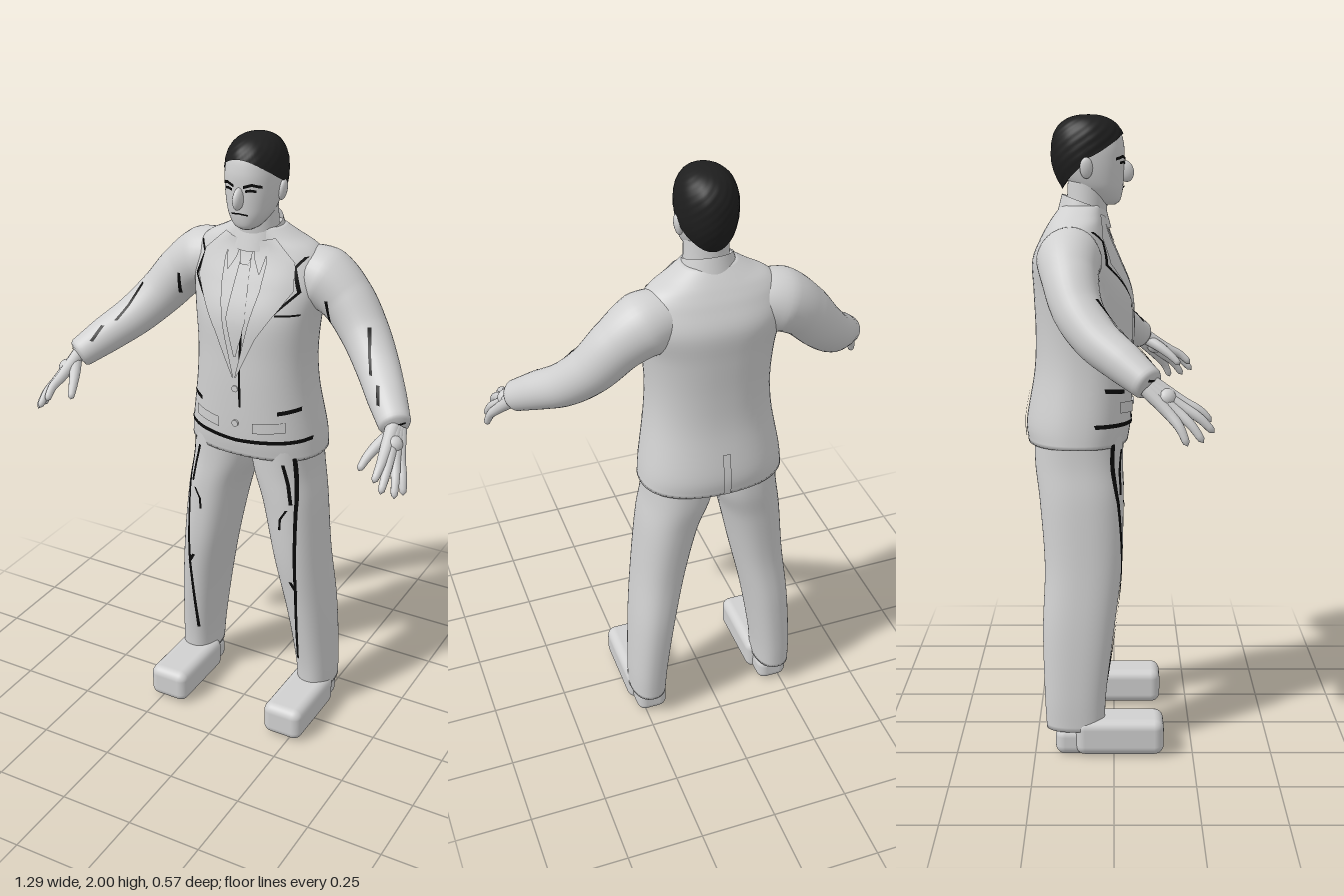
import * as THREE from 'three';
import { mergeVertices } from 'three/addons/utils/BufferGeometryUtils.js';
import { RoundedBoxGeometry } from 'three/addons/geometries/RoundedBoxGeometry.js';

const mat = (name, color) => new THREE.MeshStandardMaterial({ name, color, side: THREE.DoubleSide });
const V = (p) => new THREE.Vector3(p[0], p[1], p[2] ?? 0);

// Smooth surface from a rule fn(u, v) -> [x, y, z]; u runs around, v runs up
function grid(nu, nv, fn) {
  const pos = [], idx = [];
  for (let j = 0; j <= nv; j++)
    for (let i = 0; i <= nu; i++) pos.push(...fn(i / nu, j / nv));
  for (let j = 0; j < nv; j++)
    for (let i = 0; i < nu; i++) {
      const a = j * (nu + 1) + i, c = a + nu + 1;
      idx.push(a, c, a + 1, a + 1, c, c + 1);
    }
  let g = new THREE.BufferGeometry();
  g.setAttribute('position', new THREE.Float32BufferAttribute(pos, 3));
  g.setIndex(idx);
  g = mergeVertices(g, 1e-5);
  g.computeVertexNormals();
  return g;
}

// Loft through sections [y, cx, cz, rx, rz], closed at both ends
function loft(sections, side = 1, power = 2.3, rows = 48) {
  const mid = new THREE.CatmullRomCurve3(sections.map((s) => V([s[1] * side, s[0], s[2]])), false, 'catmullrom');
  const rad = new THREE.CatmullRomCurve3(sections.map((s) => V([s[3], s[4]])), false, 'catmullrom');
  const pw = (c) => Math.sign(c) * Math.abs(c) ** (2 / power);
  return grid(56, rows + 2, (u, v) => {
    const k = Math.round(v * (rows + 2)) - 1;
    const t = THREE.MathUtils.clamp(k / rows, 0, 1);
    const m = mid.getPoint(t), r = rad.getPoint(t), a = u * Math.PI * 2;
    const open = k < 0 || k > rows ? 0 : 1;
    return [m.x + open * r.x * pw(Math.cos(a)), m.y, m.z + open * r.y * pw(Math.sin(a))];
  });
}

// Tapered tube through points [x, y, z, radius] with a rounded end
function limb(points, side, radial, rows, roundFrom) {
  const curve = new THREE.CatmullRomCurve3(points.map((p) => V([p[0] * side, p[1], p[2]])));
  let g = new THREE.TubeGeometry(curve, rows, 1, radial);
  const pos = g.attributes.position, q = new THREE.Vector3();
  for (let i = 0; i < pos.count; i++) {
    const u = Math.floor(i / (radial + 1)) / rows;
    const t = curve.getUtoTmapping(u) * (points.length - 1);
    const k = Math.min(Math.floor(t), points.length - 2);
    let r = THREE.MathUtils.lerp(points[k][3], points[k + 1][3], t - k);
    if (u > roundFrom) r *= Math.sqrt(Math.max(0, 1 - ((u - roundFrom) / (1 - roundFrom)) ** 2));
    const c = curve.getPointAt(u);
    q.fromBufferAttribute(pos, i).sub(c).multiplyScalar(r).add(c);
    pos.setXYZ(i, q.x, q.y, q.z);
  }
  g.deleteAttribute('uv');
  g.deleteAttribute('normal');
  g = mergeVertices(g, 1e-5);
  g.computeVertexNormals();
  return g;
}

export function createModel() {
  const root = new THREE.Group();
  root.name = 'suitedMan';
  const pale = mat('paleGrey', 0xd0d0d0);
  const dark = mat('hairBlack', 0x1e1e1e);
  const ink = mat('seamBlack', 0x0a0a0a);
  const add = (name, geo, m = pale) => {
    const mesh = new THREE.Mesh(geo, m);
    mesh.name = name;
    root.add(mesh);
    return mesh;
  };

  // Thin patch between two edges of [x, y] points, laid on a mesh from the front (1) or back (-1)
  const ray = new THREE.Raycaster();
  function patch(name, on, edgeA, edgeB, m, lift, cols = 2, face = 1) {
    const at = (e, v) => {
      const t = v * (e.length - 1), k = Math.min(Math.floor(t), e.length - 2);
      return V(e[k]).lerp(V(e[k + 1]), t - k);
    };
    let z = 0;
    return add(name, grid(cols, 8 * (edgeA.length - 1), (u, v) => {
      const p = at(edgeA, v).lerp(at(edgeB, v), u);
      ray.set(V([p.x, p.y, 2 * face]), V([0, 0, -face]));
      const hit = ray.intersectObject(on)[0];
      if (hit) z = hit.point.z;
      return [p.x, p.y, z + lift * face];
    }), m);
  }
  // Narrow painted line; w is its width across
  const line = (name, on, pts, w = 0.01, flat = false) => {
    const off = (s) => pts.map(([x, y]) => (flat ? [x, y + s * w / 2] : [x + s * w / 2, y]));
    return patch(name, on, off(-1), off(1), ink, 0.004);
  };

  // Jacket body
  const jacket = add('jacket', loft([
    [0.98, 0, -0.115, 0.232, 0.16], [1.05, 0, -0.112, 0.224, 0.167], [1.2, 0, -0.097, 0.2, 0.157],
    [1.32, 0, -0.095, 0.194, 0.154], [1.45, 0, -0.1, 0.205, 0.154], [1.55, 0, -0.12, 0.225, 0.137],
    [1.62, 0, -0.122, 0.215, 0.108], [1.66, 0, -0.118, 0.185, 0.09], [1.69, 0, -0.11, 0.13, 0.078],
    [1.72, 0, -0.1, 0.08, 0.065]]));

  // Neck and tilted shirt collar
  add('neck', loft([[1.64, 0, -0.095, 0.075, 0.065], [1.72, 0, -0.085, 0.069, 0.064], [1.8, 0, -0.08, 0.066, 0.064]], 1, 2, 12));
  add('collar', grid(40, 4, (u, v) => {
    const a = u * Math.PI * 2, r = 0.092 - 0.016 * v;
    return [r * Math.cos(a), 1.675 + 0.055 * v - 0.025 * Math.sin(a), -0.093 + r * 0.92 * Math.sin(a)];
  }));

  // Tie, knot, buttons and back vent
  patch('tie', jacket, [[-0.016, 1.65], [-0.034, 1.45], [-0.004, 1.33]], [[0.016, 1.65], [0.034, 1.45], [0.004, 1.33]], pale, 0.005, 4);
  patch('tieKnot', jacket, [[-0.026, 1.668], [-0.014, 1.61]], [[0.026, 1.668], [0.014, 1.61]], pale, 0.01, 4);
  patch('backVent', jacket, [[-0.012, 0.985], [-0.012, 1.13]], [[0.012, 0.985], [0.012, 1.13]], pale, 0.006, 2, -1);
  for (const y of [1.1, 1.22]) {
    const b = add('button', new THREE.CylinderGeometry(0.011, 0.011, 0.008, 16).rotateX(Math.PI / 2));
    b.position.set(0, y, 0.06);
  }
  line('frontSeam', jacket, [[0.018, 1.16], [0.016, 1.28], [0.022, 1.42]], 0.008);
  line('hemBand', jacket, [[-0.218, 1.05], [-0.1, 1.046], [0, 1.04], [0.1, 1.046], [0.218, 1.05]], 0.013, true);
  line('breastPocket', jacket, [[0.12, 1.475], [0.185, 1.475]], 0.006, true);

  // Head
  const head = add('head', loft([
    [1.722, 0, -0.022, 0.022, 0.026], [1.735, 0, -0.027, 0.042, 0.046], [1.765, 0, -0.045, 0.064, 0.072],
    [1.8, 0, -0.058, 0.076, 0.088], [1.85, 0, -0.068, 0.084, 0.1], [1.9, 0, -0.075, 0.085, 0.107],
    [1.95, 0, -0.08, 0.076, 0.098], [1.98, 0, -0.085, 0.05, 0.065]], 1, 2.2));
  const nose = add('nose', new THREE.SphereGeometry(1, 20, 14));
  nose.scale.set(0.015, 0.034, 0.026);
  nose.position.set(0, 1.825, 0.036);
  nose.rotation.x = -0.25;
  line('mouth', head, [[-0.028, 1.776], [0, 1.779], [0.028, 1.776]], 0.005, true);

  // Hair: a cap with a hairline low at the back, and slight waves
  add('hair', grid(72, 32, (u, v) => {
    const a = u * Math.PI * 2, s = Math.sin(a);
    const edge = s > 0 ? 1.865 + 0.075 * s ** 1.2 : 1.865 - 0.095 * Math.abs(s) ** 0.8;
    const y = THREE.MathUtils.lerp(edge, 1.998, Math.sin(v * Math.PI / 2));
    const d = (y - 1.88) / 0.118;
    let r = d > 0 ? Math.max(0, 1 - d ** 2.6) ** (1 / 2.4) : 1 - 0.36 * d * d;
    r *= 1 + 0.012 * Math.sin(a * 13 + y * 90) * Math.sin(y * 130 + a * 4);
    return [0.092 * r * Math.cos(a), y, -0.08 + 0.117 * r * s];
  }), dark);

  for (const s of [1, -1]) {
    const side = s > 0 ? 'left' : 'right';
    const m = (pts) => pts.map(([x, y]) => [x * s, y]);

    // Face details
    line(side + 'Eyebrow', head, m([[0.016, 1.862], [0.04, 1.87], [0.064, 1.862]]), 0.009, true);
    line(side + 'Eye', head, m([[0.022, 1.85], [0.036, 1.853], [0.052, 1.85]]), 0.008, true);
    const ear = add(side + 'Ear', new THREE.SphereGeometry(1, 16, 12));
    ear.scale.set(0.012, 0.033, 0.02);
    ear.position.set(0.086 * s, 1.835, -0.085);
    ear.rotation.z = -0.15 * s;

    // Lapel, shirt collar leaf, pocket flap and their seams
    patch(side + 'Lapel', jacket, m([[0.085, 1.695], [0.155, 1.63], [0.165, 1.55], [0.07, 1.4], [0.006, 1.26]]),
      m([[0.06, 1.69], [0.07, 1.62], [0.065, 1.54], [0.035, 1.4], [0.002, 1.26]]), pale, 0.008, 6);
    patch(side + 'CollarLeaf', jacket, m([[0.018, 1.68], [0.03, 1.63], [0.052, 1.59]]),
      m([[0.07, 1.69], [0.068, 1.65], [0.056, 1.59]]), pale, 0.009, 4);
    patch(side + 'PocketFlap', jacket, m([[0.06, 1.11], [0.16, 1.12]]), m([[0.06, 1.075], [0.16, 1.085]]), pale, 0.006, 4);
    line(side + 'LapelSeam', jacket, m([[0.18, 1.645], [0.155, 1.615], [0.178, 1.545], [0.125, 1.49], [0.07, 1.43]]), 0.011);
    line(side + 'PocketSeam', jacket, m([[0.135, 1.15], [0.192, 1.158]]), 0.014, true);

    // Sleeve
    const sleeve = add(side + 'Sleeve', limb([
      [0.13, 1.575, -0.13, 0.085], [0.21, 1.56, -0.135, 0.1], [0.285, 1.51, -0.13, 0.085], [0.36, 1.425, -0.105, 0.076],
      [0.43, 1.35, -0.05, 0.068], [0.5, 1.29, 0.03, 0.06], [0.567, 1.232, 0.108, 0.047]], s, 32, 60, 0.97));
    line(side + 'SleeveFold', sleeve, m([[0.258, 1.525], [0.265, 1.45]]));
    line(side + 'ElbowFold', sleeve, m([[0.4, 1.465], [0.425, 1.4], [0.45, 1.355]]));
    line(side + 'ForearmFold', sleeve, m([[0.485, 1.34], [0.505, 1.295]]), 0.012);
    line(side + 'CuffSeam', sleeve, m([[0.55, 1.245], [0.59, 1.255]]), 0.007, true);

    // Hand: palm bones running on into the fingers, then the thumb
    const fingers = [[0.568, 1.19, 0.195, 0.572, 1.135, 0.275], [0.582, 1.181, 0.188, 0.598, 1.108, 0.282],
      [0.594, 1.171, 0.172, 0.628, 1.086, 0.25], [0.603, 1.163, 0.155, 0.638, 1.078, 0.205]];
    fingers.forEach(([kx, ky, kz, tx, ty, tz], i) => add(side + 'Finger' + (i + 1), limb([
      [0.556 + i * 0.005, 1.242 - i * 0.005, 0.11 - i * 0.006, 0.022], [kx, ky, kz, 0.017],
      [(kx + tx) / 2 + 0.004, (ky + ty) / 2 + 0.006, (kz + tz) / 2 + 0.004, 0.0135], [tx, ty, tz, 0.01]], s, 12, 20, 0.92)));
    add(side + 'Thumb', limb([[0.56, 1.225, 0.12, 0.02], [0.535, 1.2, 0.165, 0.018],
      [0.517, 1.17, 0.205, 0.014], [0.507, 1.14, 0.235, 0.01]], s, 12, 20, 0.92));
    const palm = add(side + 'Palm', new THREE.SphereGeometry(0.029, 16, 12));
    palm.position.set(0.575 * s, 1.203, 0.147);

    // Trouser leg with its crease and folds
    const leg = add(side + 'TrouserLeg', loft([
      [0.085, 0.23, -0.122, 0.06, 0.092], [0.2, 0.224, -0.122, 0.064, 0.098], [0.4, 0.203, -0.112, 0.073, 0.113],
      [0.6, 0.172, -0.097, 0.083, 0.122], [0.8, 0.14, -0.102, 0.095, 0.132], [0.92, 0.11, -0.11, 0.106, 0.139],
      [1.03, 0.1, -0.11, 0.108, 0.14]], s));
    line(side + 'TrouserCrease', leg, m([[0.182, 0.99], [0.196, 0.85], [0.203, 0.5], [0.197, 0.21]]));
    line(side + 'TrouserPocket', leg, m([[0.152, 0.97], [0.17, 0.9], [0.182, 0.83]]));
    line(side + 'KneeFold', leg, m([[0.185, 0.54], [0.205, 0.505]]), 0.012);
    line(side + 'ThighFold', leg, m([[0.17, 0.81], [0.15, 0.775], [0.148, 0.735]]), 0.008);

    // Shoe and heel
    add(side + 'Shoe', new RoundedBoxGeometry(0.14, 0.115, 0.28, 4, 0.03)).position.set(0.223 * s, 0.062, 0.018);
    add(side + 'Heel', new RoundedBoxGeometry(0.105, 0.09, 0.1, 4, 0.03)).position.set(0.225 * s, 0.045, -0.135);
  }
  return root;
}
